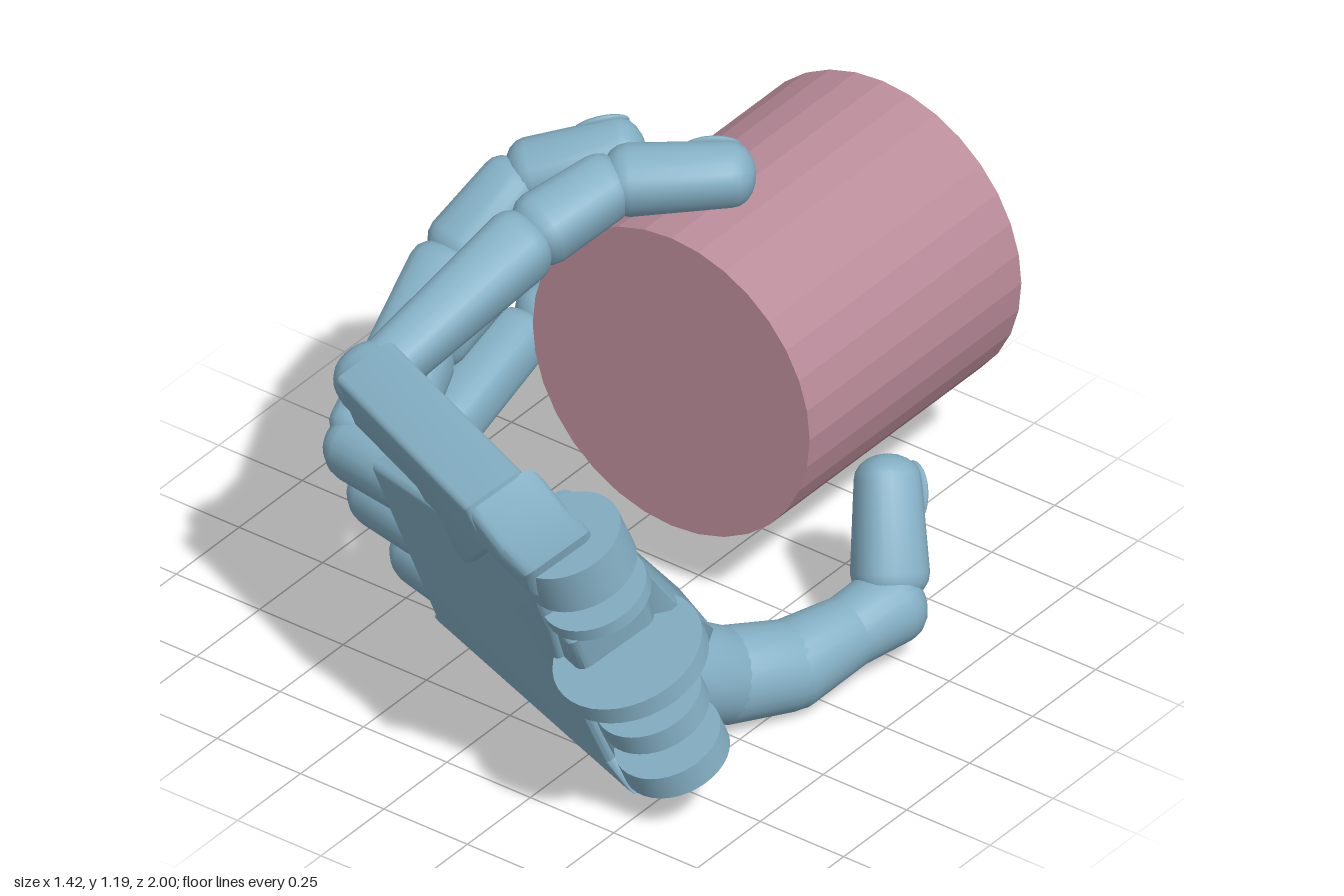
import * as THREE from 'three';
import { ConvexGeometry } from 'three/addons/geometries/ConvexGeometry.js';
import { toCreasedNormals } from 'three/addons/utils/BufferGeometryUtils.js';

const shell = new THREE.MeshStandardMaterial({ color: 0x84afc4 });
const pink = new THREE.MeshStandardMaterial({ color: 0xba8c9a });
const V = (a) => new THREE.Vector3(...a);

// Tilted palm frame: U runs finger-to-wrist, W up the palm, N out of its outer face.
const U = V([0.919, 0, 0.395]);
const N = V([-0.365, -0.382, 0.849]).normalize();
const W = N.clone().cross(U).normalize();

function add(parent, name, geometry, material = shell) {
  const mesh = new THREE.Mesh(geometry, material);
  mesh.name = name;
  parent.add(mesh);
  return mesh;
}

// Palm-frame position of a point given by its upright x, y and its depth d along N.
function onPalm(x, y, d = 0) {
  const b = (y - d * N.y) / W.y;
  const a = (x - d * N.x - b * W.x) / U.x;
  return new THREE.Vector3(a, b, d);
}

// Plate with a bevelled rim; outline in upright x, y, extruded into the palm.
// The finger edge can be lifted to follow the arch of the knuckles.
function plate(outline, front, depth, bevel = 0.018, lift = 0) {
  const pts = outline.map(([x, y]) => {
    const p = onPalm(x, y);
    return new THREE.Vector2(p.x, p.y);
  });
  const g = new THREE.ExtrudeGeometry(new THREE.Shape(pts), {
    depth: depth - 2 * bevel, bevelThickness: bevel, bevelSize: bevel, bevelOffset: -bevel, bevelSegments: 3,
  });
  g.translate(0, 0, front - depth + bevel);
  const p = g.attributes.position;
  for (let i = 0; i < p.count; i++) if (p.getX(i) < -0.1) p.setZ(i, p.getZ(i) + lift);
  return toCreasedNormals(g, 0.6);
}

// Tapered, rounded-square bone from A to B, its sides aligned with the hinge axis.
function bone(A, B, rA, rB, hinge, square = 4) {
  const len = A.distanceTo(B);
  const profile = [];
  for (let i = 0; i <= 5; i++) {
    const t = (i / 5) * Math.PI / 2;
    profile.push(new THREE.Vector2(rA * Math.sin(t), -rA * 0.8 * Math.cos(t)));
  }
  for (let i = 0; i <= 5; i++) {
    const t = (i / 5) * Math.PI / 2;
    profile.push(new THREE.Vector2(rB * Math.cos(t), len + rB * 0.8 * Math.sin(t)));
  }
  const g = new THREE.LatheGeometry(profile, 24);
  const p = g.attributes.position;
  for (let i = 0; i < p.count; i++) {
    const x = p.getX(i), z = p.getZ(i), r = Math.hypot(x, z);
    if (r < 1e-5) continue;
    const k = 1 / Math.pow(Math.abs(x / r) ** square + Math.abs(z / r) ** square, 1 / square);
    const s = 1 + (k - 1) * 0.6;
    p.setX(i, x * s);
    p.setZ(i, z * s);
  }
  const dir = B.clone().sub(A).normalize();
  const side = hinge.clone().addScaledVector(dir, -hinge.dot(dir)).normalize();
  g.applyMatrix4(new THREE.Matrix4().makeBasis(side, dir, side.clone().cross(dir)).setPosition(A));
  return toCreasedNormals(g, 0.9);
}

// Flattened nail on the outer side of a fingertip.
function nail(C, D, r, out) {
  const dir = D.clone().sub(C).normalize();
  const up = out.clone().addScaledVector(dir, -out.dot(dir)).normalize();
  const g = new THREE.SphereGeometry(1, 20, 12);
  g.scale(r * 0.72, r * 0.95, r * 0.22);
  const at = C.clone().lerp(D, 0.85).addScaledVector(up, r * 0.93);
  g.applyMatrix4(new THREE.Matrix4().makeBasis(dir.clone().cross(up), dir, up).setPosition(at));
  return g;
}

function finger(name, points, r) {
  const group = new THREE.Group();
  group.name = name;
  const [A, B, C, D] = points.map(V);
  const hinge = B.clone().sub(A).cross(D.clone().sub(C)).normalize();
  const tip = D.clone().addScaledVector(D.clone().sub(C).normalize(), -r * 0.7);
  add(group, 'proximalBone', bone(A, B.clone().lerp(A, 0.08), r * 0.8, r, hinge));
  add(group, 'middleBone', bone(B.clone().lerp(C, 0.15), C.clone().lerp(B, 0.12), r * 0.98, r * 0.9, hinge));
  add(group, 'fingertip', bone(C.clone().lerp(tip, 0.12), tip, r * 0.95, r * 0.86, hinge, 3));
  add(group, 'nail', nail(C, tip, r * 0.88, C.clone().sub(B)));
  return group;
}

export function createModel() {
  const model = new THREE.Group();

  // Held cylinder
  const held = add(model, 'heldCylinder', toCreasedNormals(new THREE.CylinderGeometry(0.415, 0.415, 0.84, 32), 0.1), pink);
  held.rotation.x = Math.PI / 2;
  held.position.set(-0.015, 0.605, -0.58);

  // Palm
  const palm = new THREE.Group();
  palm.name = 'palm';
  palm.applyMatrix4(new THREE.Matrix4().makeBasis(U, W, N).setPosition(0, 0, 0.43));
  model.add(palm);
  add(palm, 'palmPlate', plate([[-0.31, 0.108], [0.52, 0.082], [0.42, 0.13], [0.4, 0.25], [0.36, 0.42],
    [0.4, 0.6], [0.4, 0.8], [0.1, 0.75], [-0.29, 0.7], [-0.29, 0.13]], 0, 0.18, 0.018, 0.04));
  add(palm, 'wristBlock', plate([[0.15, 0.1], [0.44, 0.09], [0.43, 0.22], [0.4, 0.3], [0.4, 0.42], [0.45, 0.46],
    [0.45, 0.58], [0.38, 0.64], [0.38, 0.8], [0.2, 0.78]], -0.02, 0.23, 0.03));
  add(palm, 'indexPlate', plate([[-0.37, 0.765], [-0.1, 0.75], [-0.05, 0.64], [-0.01, 0.56], [0.03, 0.56], [0.08, 0.61],
    [0.24, 0.79], [0.2, 0.92], [-0.37, 0.935]], 0.012, 0.17));
  add(palm, 'wristEar', plate([[0.18, 0.765], [0.43, 0.765], [0.44, 0.865], [0.32, 0.86], [0.2, 0.91]], 0.01, 0.2, 0.03));

  // Finger lugs along the palm's edge, rising to the knuckle arch: x, y, rise
  for (const [x, y, rise] of [[-0.385, 0.85, 0], [-0.465, 0.59, 0.08], [-0.475, 0.395, 0.065], [-0.415, 0.2, 0.04]]) {
    add(palm, 'fingerLug', bone(onPalm(-0.12, y, -0.085), onPalm(x, y, rise - 0.085), 0.09, 0.09, V([0, 1, 0]), 2.5));
  }

  // Wrist discs: x, y, radius, thickness
  for (const [x, y, r, t] of [[0.44, 0.835, 0.14, 0.12], [0.47, 0.7, 0.135, 0.035], [0.53, 0.51, 0.19, 0.05],
    [0.54, 0.34, 0.135, 0.06], [0.55, 0.185, 0.135, 0.07]]) {
    const disc = add(palm, 'wristDisc', toCreasedNormals(new THREE.CylinderGeometry(r, r, t, 36), 0.6));
    disc.position.copy(onPalm(x, y, -0.14));
  }

  // Thumb mound on the inner side of the palm
  const mound = [[0.05, 0.28, 0.44], [0.12, 0.62, 0.6], [0.3, 0.84, 0.68], [0.42, 0.84, 0.7], [0.56, 0.62, 0.6],
    [0.58, 0.47, 0.46], [0.53, 0.12, 0.58], [0.2, 0.1, 0.45], [0, 0.13, 0.4], [0.46, 0.36, 0.33], [0.4, 0.46, 0.36],
    [0.26, 0.36, 0.4], [0.22, 0.17, 0.38], [0.42, 0.14, 0.35], [0.34, 0.65, 0.5]];
  add(model, 'thumbMound', toCreasedNormals(new ConvexGeometry(mound.map(V)), 0.9));

  // Fingers
  model.add(
    finger('indexFinger', [[-0.36, 0.87, 0.51], [-0.28, 1.03, 0.05], [-0.2, 1.1, -0.18], [0.06, 1.11, -0.4]], 0.089),
    finger('middleFinger', [[-0.47, 0.63, 0.48], [-0.53, 0.85, 0.03], [-0.48, 1.0, -0.18], [-0.25, 1.085, -0.37]], 0.087),
    finger('ringFinger', [[-0.48, 0.42, 0.38], [-0.625, 0.55, 0.02], [-0.6, 0.68, -0.32], [-0.43, 0.755, -0.56]], 0.084),
    finger('littleFinger', [[-0.43, 0.22, 0.28], [-0.6, 0.3, 0], [-0.62, 0.4, -0.4], [-0.46, 0.48, -0.67]], 0.08),
  );

  // Thumb
  const thumb = new THREE.Group();
  thumb.name = 'thumb';
  model.add(thumb);
  const path = [[0.36, 0.24, 0.42], [0.42, 0.14, 0.22], [0.5, 0.115, 0.06], [0.545, 0.135, -0.12], [0.575, 0.155, -0.25]].map(V);
  const radii = [0.14, 0.12, 0.112, 0.09, 0.1];
  const tip = V([0.475, 0.41, -0.37]);
  const hinge = V([0.8, 0.1, 0.5]).normalize();
  for (let i = 0; i < 4; i++) add(thumb, 'thumbBone', bone(path[i], path[i + 1], radii[i], radii[i + 1], hinge, 2));
  const base = path[4].clone().lerp(tip, 0.25);
  add(thumb, 'thumbTip', bone(base, tip, 0.092, 0.078, hinge, 3));
  add(thumb, 'nail', nail(base, tip, 0.08, V([0.3, -0.1, -1])));

  return model;
}
